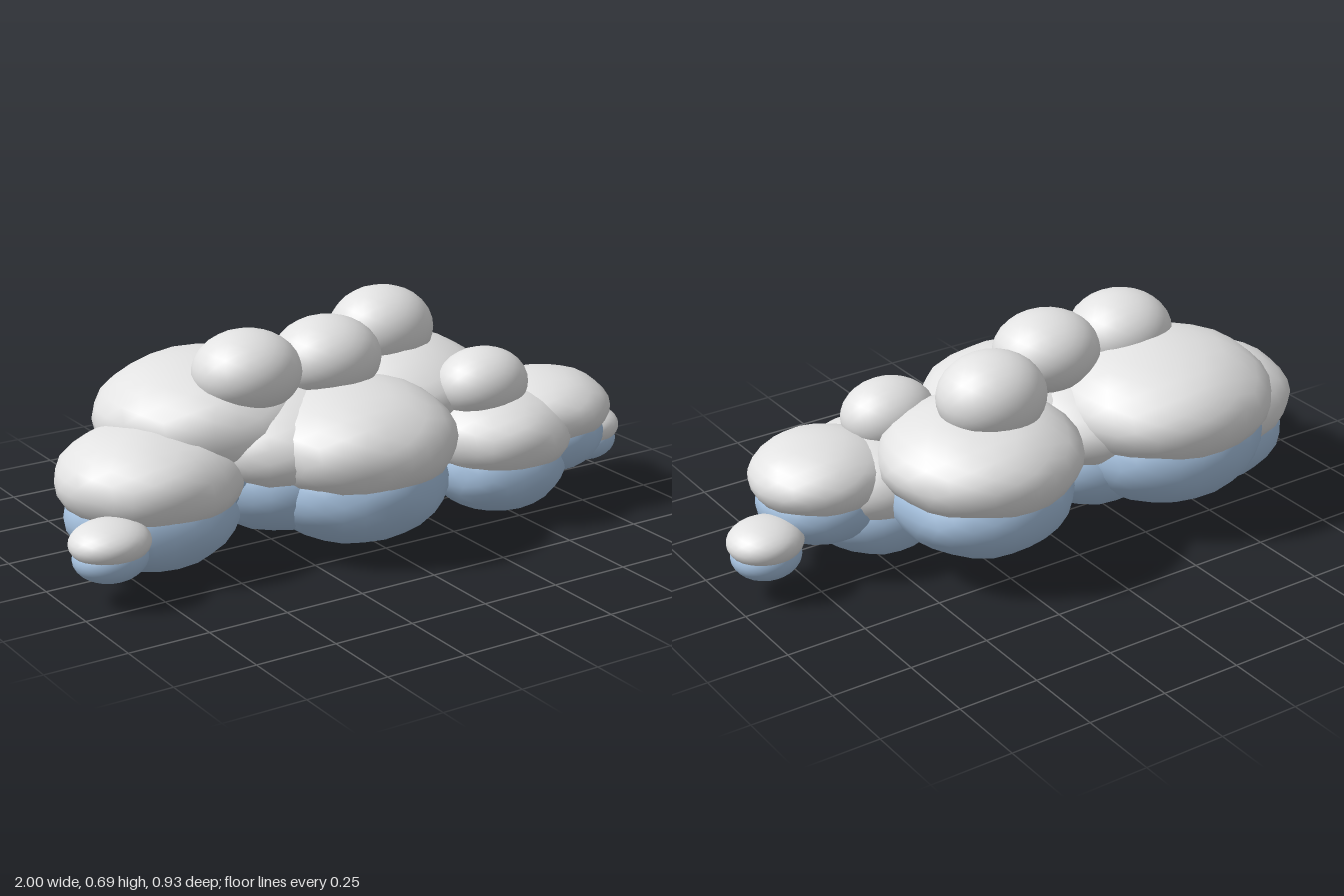
import * as THREE from 'three';
import { mergeVertices } from 'three/addons/utils/BufferGeometryUtils.js';

const white = new THREE.MeshStandardMaterial({ color: 0xe2e2e2 });
white.name = 'cloud white';
const blue = new THREE.MeshStandardMaterial({ color: 0xa8c4e2 });
blue.name = 'shadow blue';

// Smooth ball with slight lumps, squashed to the given radii
function puffGeometry(rx, ry, rz, lump, seed) {
  const ball = new THREE.IcosahedronGeometry(1, 4);
  ball.deleteAttribute('uv');
  ball.deleteAttribute('normal');
  const geo = mergeVertices(ball, 1e-4);
  const pos = geo.attributes.position;
  const v = new THREE.Vector3();
  for (let i = 0; i < pos.count; i++) {
    v.fromBufferAttribute(pos, i);
    const wave = Math.sin(6 * v.x + seed) * Math.sin(5 * v.y + 2 * seed) * Math.sin(6 * v.z + 3 * seed);
    v.multiplyScalar(1 + lump * wave);
    pos.setXYZ(i, v.x * rx, v.y * ry, v.z * rz);
  }
  geo.computeVertexNormals();
  return geo;
}

function addBall(parent, name, material, [x, y, z], [rx, ry, rz], lump, seed) {
  const mesh = new THREE.Mesh(puffGeometry(rx, ry, rz, lump, seed), material);
  mesh.name = name;
  mesh.position.set(x, y, z);
  parent.add(mesh);
}

// Two-tone puffs: name, centre x, centre z, radius x, radius z, bottom, top
const puffs = [
  ['frontPuff', -0.055, 0.15, 0.315, 0.315, 0.025, 0.51],
  ['middlePuff', -0.21, 0.01, 0.31, 0.3, 0.05, 0.5],
  ['rightPuff', -0.64, -0.02, 0.285, 0.27, 0, 0.435],
  ['backRightPuff', -0.385, -0.135, 0.345, 0.335, 0.07, 0.58],
  ['backLeftPuff', 0.27, -0.125, 0.305, 0.305, 0.08, 0.53],
  ['frontLeftPuff', 0.47, 0.15, 0.24, 0.245, 0.01, 0.41],
  ['leftPuff', 0.65, 0.15, 0.22, 0.207, 0.095, 0.425],
  ['leftWisp', 0.885, 0.075, 0.115, 0.11, 0.065, 0.245],
  ['rightWisp', -0.88, 0.175, 0.12, 0.11, 0.07, 0.25],
];

// Plain crown puffs: centre and radii
const crowns = [
  [[-0.345, 0.555, 0.03], [0.165, 0.125, 0.157]],
  [[-0.07, 0.555, 0.03], [0.168, 0.125, 0.157]],
  [[0.24, 0.555, -0.14], [0.167, 0.132, 0.153]],
  [[0.413, 0.425, 0.158], [0.148, 0.11, 0.127]],
];

export function createModel() {
  const cloud = new THREE.Group();
  cloud.name = 'cloud';

  // Each puff is a white upper ball over a slightly narrower blue lower ball
  puffs.forEach(([name, x, z, rx, rz, bottom, top], i) => {
    const puff = new THREE.Group();
    puff.name = name;
    const h = top - bottom;
    const lump = rx > 0.2 ? 0.025 : 0;
    addBall(puff, name + 'Top', white, [x, bottom + 0.64 * h, z], [rx, 0.36 * h, rz], lump, i + 1);
    addBall(puff, name + 'Underside', blue, [x, bottom + 0.39 * h, z], [rx * 0.92, 0.39 * h, rz * 0.92], lump, i + 5);
    cloud.add(puff);
  });

  crowns.forEach(([centre, radii], i) => addBall(cloud, 'crownPuff' + (i + 1), white, centre, radii, 0, i));

  return cloud;
}
